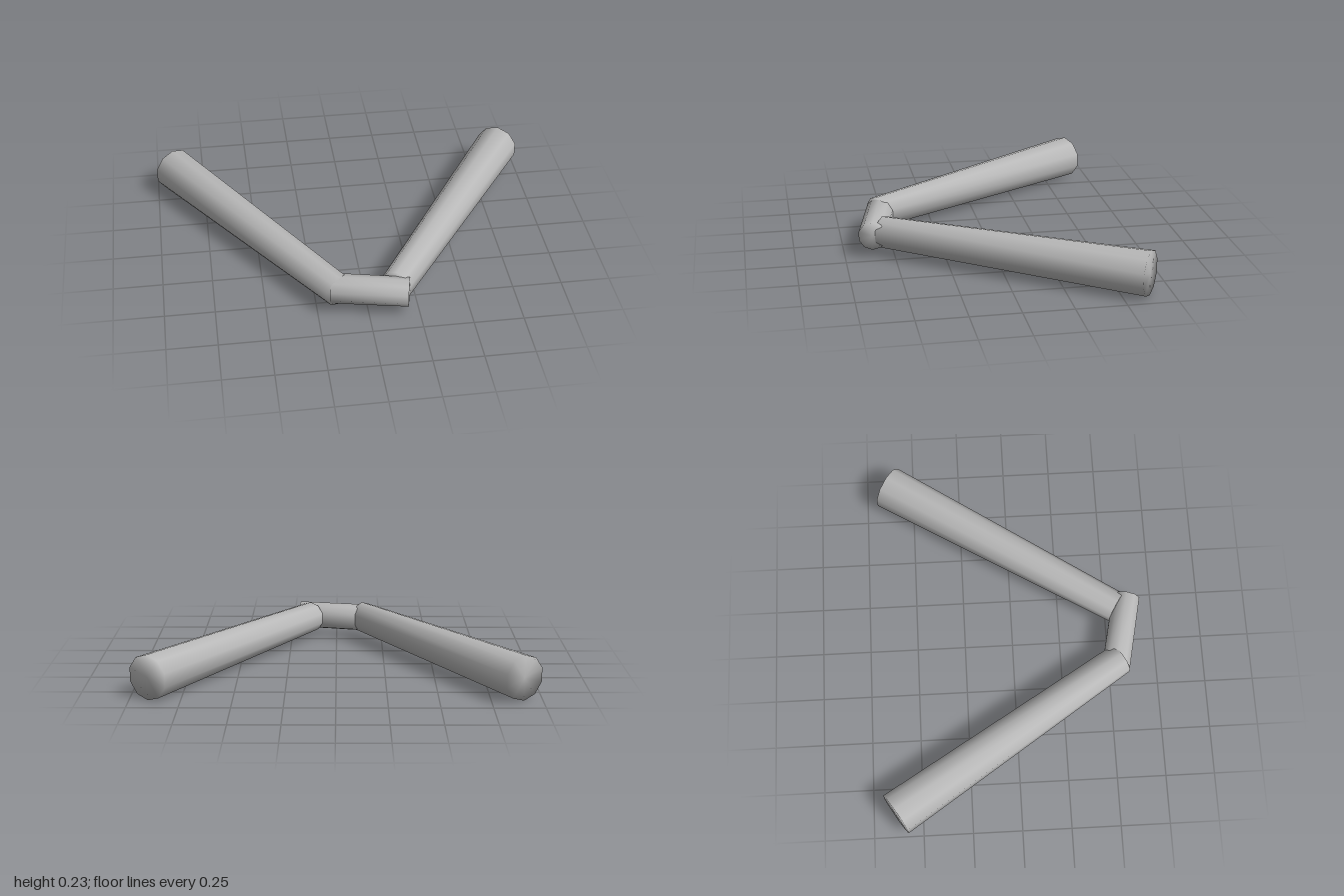
import * as THREE from 'three';
import { mergeVertices } from 'three/addons/utils/BufferGeometryUtils.js';

const AXIS_HEIGHT = 0.115;

// Ten-sided tapered rod from one [x, z] point to another, smooth over the end caps
function rod(name, from, to, rFrom, rTo, material) {
  const a = new THREE.Vector3(from[0], AXIS_HEIGHT, from[1]);
  const b = new THREE.Vector3(to[0], AXIS_HEIGHT, to[1]);
  let geometry = new THREE.CylinderGeometry(rTo, rFrom, a.distanceTo(b), 10);
  geometry.deleteAttribute('normal');
  geometry.deleteAttribute('uv');
  geometry = mergeVertices(geometry, 1e-4);
  geometry.clearGroups();
  geometry.computeVertexNormals();
  geometry.rotateX(Math.PI / 2); // axis along +z, ridge on top

  const mesh = new THREE.Mesh(geometry, material);
  mesh.name = name;
  mesh.position.copy(a).add(b).multiplyScalar(0.5);
  mesh.lookAt(b);
  return mesh;
}

export function createModel() {
  const group = new THREE.Group();
  group.name = 'bentRod';
  const grey = new THREE.MeshStandardMaterial({ color: 0xb8b8b8 });
  grey.name = 'grey';

  // Two long arms, widening toward the back
  for (const [name, side] of [['leftArm', 1], ['rightArm', -1]]) {
    group.add(rod(name, [side * 0.143, 0.556], [side * 0.908, -0.632], 0.082, 0.114, grey));
  }

  // Short slanted link joining the arms at the front
  group.add(rod('link', [-0.175, 0.531], [0.2, 0.611], 0.075, 0.073, grey));

  return group;
}
